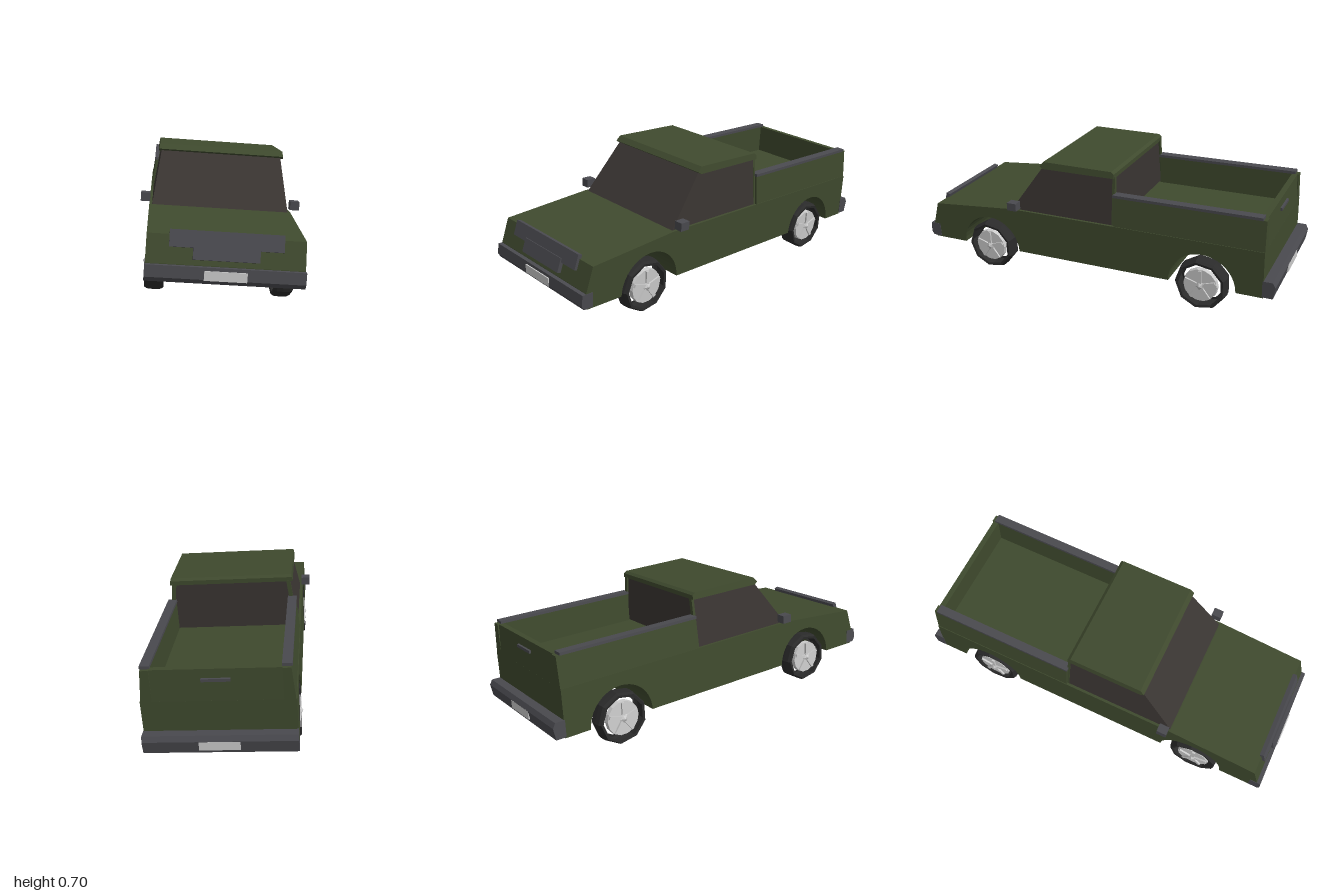
import * as THREE from 'three';

const mat = (color, side = THREE.FrontSide) =>
  new THREE.MeshStandardMaterial({ color, flatShading: true, side });

export function createModel() {
  const paint = mat(0x3f4a2e), glass = mat(0x3a3532), trim = mat(0x4a4a4f);
  const rubber = mat(0x2b2b2b, THREE.DoubleSide), light = mat(0xcccccc);

  const truck = new THREE.Group();
  truck.name = 'pickupTruck';

  const add = (name, geometry, material, x = 0, y = 0, z = 0, parent = truck) => {
    const mesh = new THREE.Mesh(geometry, material);
    mesh.name = name;
    mesh.position.set(x, y, z);
    parent.add(mesh);
    return mesh;
  };
  const box = (name, material, w, h, d, x, y, z, parent) =>
    add(name, new THREE.BoxGeometry(w, h, d), material, x, y, z, parent);

  const toShape = (points) => new THREE.Shape(points.map(([a, b]) => new THREE.Vector2(a, b)));

  // Side profile (z, y) swept across the width, narrowing from bottom to top
  const sideSweep = (shape, halfBottom, halfTop = halfBottom) => {
    const g = new THREE.ExtrudeGeometry(shape, { depth: 2, bevelEnabled: false, curveSegments: 10 });
    g.translate(0, 0, -1).rotateY(-Math.PI / 2);
    g.computeBoundingBox();
    const { min, max } = g.boundingBox;
    const p = g.attributes.position;
    for (let i = 0; i < p.count; i++) {
      const t = (p.getY(i) - min.y) / (max.y - min.y);
      p.setX(i, p.getX(i) * THREE.MathUtils.lerp(halfBottom, halfTop, t));
    }
    g.computeVertexNormals();
    return g;
  };

  // Lower body with the two wheel arches cut right across
  const body = new THREE.Shape();
  const sill = 0.16, archR = 0.172;
  body.moveTo(-0.925, sill);
  for (const z of [-0.62, 0.578]) {
    body.lineTo(z - archR, sill);
    body.absarc(z, sill, archR, Math.PI, 0, true);
  }
  body.lineTo(0.945, sill);
  body.lineTo(0.952, 0.24);
  body.lineTo(0.915, 0.362);
  body.lineTo(0.44, 0.402);
  body.lineTo(-0.925, 0.398);
  add('lowerBody', sideSweep(body, 0.345), paint);

  // Cab: glasshouse, roof and pillars
  add('cabGlass', sideSweep(toShape([
    [-0.148, 0.395], [0.44, 0.395], [0.245, 0.655], [-0.148, 0.655],
  ]), 0.332, 0.3), glass);
  add('roof', sideSweep(toShape([
    [-0.155, 0.643], [0.245, 0.643], [0.262, 0.655], [0.24, 0.68], [-0.14, 0.676], [-0.155, 0.665],
  ]), 0.315, 0.31), paint);

  // Load bed: leaning side walls with grey rails, tailgate
  const lengthwise = (points, length) =>
    new THREE.ExtrudeGeometry(toShape(points), { depth: length, bevelEnabled: false });
  for (const s of [1, -1]) {
    add('bedSide', lengthwise([
      [s * 0.342, 0.395], [s * 0.328, 0.55], [s * 0.29, 0.55], [s * 0.29, 0.395],
    ], 0.77), paint, 0, 0, -0.925);
    box('bedRail', trim, 0.045, 0.014, 0.755, s * 0.31, 0.557, -0.53);
    box('rearPillar', paint, 0.02, 0.25, 0.014, s * 0.308, 0.525, -0.15).rotation.z = s * 0.12;
    box('mirror', trim, 0.045, 0.042, 0.052, s * 0.365, 0.435, 0.405);
  }
  add('tailgate', sideSweep(toShape([
    [-0.925, 0.395], [-0.89, 0.395], [-0.89, 0.55], [-0.918, 0.55],
  ]), 0.34, 0.328), paint);
  box('tailgateHandle', trim, 0.13, 0.014, 0.012, 0, 0.5, -0.925);

  // Bumpers and plates at both ends
  add('frontBumper', sideSweep(toShape([
    [0.915, 0.165], [0.965, 0.165], [0.977, 0.185], [0.973, 0.238], [0.915, 0.238],
  ]), 0.347), trim);
  add('rearBumper', sideSweep(toShape([
    [-0.92, 0.165], [-0.92, 0.25], [-0.97, 0.25], [-0.983, 0.225], [-0.972, 0.165],
  ]), 0.347), trim);
  box('frontPlate', light, 0.185, 0.042, 0.008, 0, 0.203, 0.976);
  box('rearPlate', light, 0.185, 0.042, 0.008, 0, 0.203, -0.979);

  // Grille panels on the leaning nose
  box('upperGrille', trim, 0.495, 0.075, 0.022, 0, 0.347, 0.923).rotation.x = -0.29;
  box('lowerGrille', trim, 0.288, 0.07, 0.022, 0, 0.298, 0.944).rotation.x = -0.29;

  // Wheels: open tyre band, light disc and five raised spokes, axis along x
  const tyreProfile = [[0.112, -0.043], [0.125, -0.045], [0.133, -0.03],
    [0.135, 0], [0.133, 0.03], [0.125, 0.045], [0.112, 0.043]]
    .map(([r, h]) => new THREE.Vector2(r, h));
  const tyreGeometry = new THREE.LatheGeometry(tyreProfile, 9).rotateZ(-Math.PI / 2);
  const discGeometry = new THREE.CylinderGeometry(0.086, 0.088, 0.024, 14).rotateZ(-Math.PI / 2);
  const hubGeometry = new THREE.ConeGeometry(0.026, 0.014, 5).rotateZ(-Math.PI / 2);
  for (const s of [1, -1]) {
    for (const [name, z] of [['frontWheel', 0.593], ['rearWheel', -0.612]]) {
      const wheel = new THREE.Group();
      wheel.name = name;
      wheel.position.set(s * 0.3, 0.16, z);
      wheel.rotation.y = s > 0 ? 0 : Math.PI;
      add('tyre', tyreGeometry, rubber, 0, 0, 0, wheel);
      add('rimDisc', discGeometry, light, 0.026, 0, 0, wheel);
      add('hubCap', hubGeometry, light, 0.05, 0, 0, wheel);
      for (let i = 0; i < 5; i++) {
        const a = (i / 5) * Math.PI * 2;
        const spoke = box('spoke', light, 0.012, 0.078, 0.016,
          0.041, Math.cos(a) * 0.042, Math.sin(a) * 0.042, wheel);
        spoke.rotation.x = a;
      }
      truck.add(wheel);
    }
  }

  // The whole vehicle sits slightly turned and leaning
  truck.rotation.set(0, 0.057, -0.075, 'YXZ');
  truck.position.set(-0.03, 0, 0);
  const model = new THREE.Group();
  model.name = 'model';
  model.add(truck);
  return model;
}
